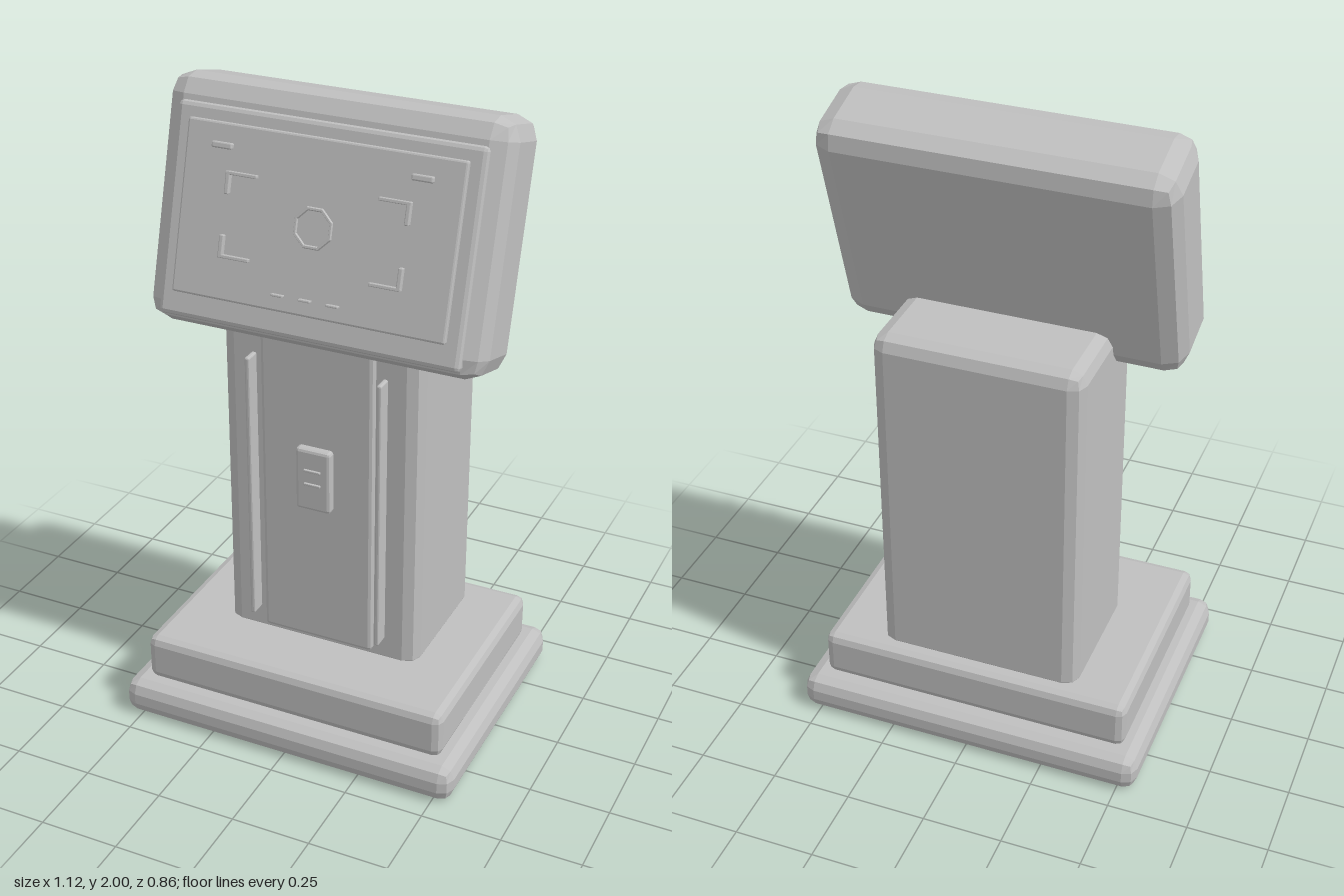
import * as THREE from 'three';
import { RoundedBoxGeometry } from 'three/addons/geometries/RoundedBoxGeometry.js';

export function createModel() {
  const root = new THREE.Group();
  root.name = 'kiosk';
  const grey = new THREE.MeshStandardMaterial({ color: 0xbfbfbf });
  grey.name = 'plain grey';

  function add(parent, name, geometry, x, y, z) {
    const mesh = new THREE.Mesh(geometry, grey);
    mesh.name = name;
    mesh.position.set(x, y, z);
    parent.add(mesh);
    return mesh;
  }

  // Bevelled block given by its ranges on each axis, with faceted edges
  function block(parent, name, [x0, x1], [y0, y1], [z0, z1], r) {
    const g = new RoundedBoxGeometry(x1 - x0, y1 - y0, z1 - z0, 1, r);
    g.computeVertexNormals();
    return add(parent, name, g, (x0 + x1) / 2, (y0 + y1) / 2, (z0 + z1) / 2);
  }

  // Stepped base
  block(root, 'basePlinth', [-0.558, 0.558], [0, 0.115], [-0.432, 0.432], 0.04);
  block(root, 'baseStep', [-0.5, 0.5], [0.11, 0.263], [-0.365, 0.37], 0.027);

  // Column with its raised front panel and side strips
  block(root, 'column', [-0.323, 0.323], [0.22, 1.377], [-0.31, 0.147], 0.045);
  block(root, 'frontPanel', [-0.183, 0.183], [0.28, 1.34], [0.12, 0.167], 0.012);
  for (const s of [-1, 1]) {
    const x = s * 0.212;
    block(root, 'lightStrip', [x - 0.008, x + 0.008], [0.33, 1.225], [0.135, 0.195], 0.005);
  }

  // Reader with two slots
  block(root, 'reader', [-0.058, 0.056], [0.755, 0.962], [0.15, 0.193], 0.01);
  for (const y of [0.847, 0.893]) {
    block(root, 'readerSlot', [-0.028, 0.026], [y - 0.004, y + 0.004], [0.185, 0.2], 0.002);
  }

  // Tilted head, built upright around its own centre
  const head = new THREE.Group();
  head.name = 'head';
  head.position.set(0, 1.628, 0.01);
  head.rotation.x = -0.28;
  root.add(head);
  block(head, 'headHousing', [-0.531, 0.531], [-0.366, 0.366], [-0.135, 0.135], 0.065);
  block(head, 'bezel', [-0.473, 0.473], [-0.338, 0.284], [0.1, 0.15], 0.014);
  block(head, 'screen', [-0.427, 0.427], [-0.264, 0.24], [0.14, 0.166], 0.006);

  // Raised screen marks: corner brackets and upper ticks, mirrored
  const front = [0.16, 0.181];
  for (const s of [-1, 1]) {
    const span = (a, b) => (s > 0 ? [a, b] : [-b, -a]);
    for (const [edge, dir] of [[0.108, -1], [-0.14, 1]]) {
      const yRange = (a, b) => [edge + dir * a, edge + dir * b].sort((p, q) => p - q);
      block(head, 'bracketBar', span(0.187, 0.284), yRange(0, 0.01), front, 0.002);
      block(head, 'bracketPost', span(0.27, 0.284), yRange(0, 0.066), front, 0.003);
    }
    block(head, 'statusTick', span(0.274, 0.338), [0.167, 0.185], front, 0.004);
  }

  // Centre ring and lower dashes
  const ring = new THREE.TorusGeometry(0.058, 0.006, 6, 8).toNonIndexed();
  ring.computeVertexNormals();
  add(head, 'centreRing', ring, 0, -0.011, 0.172).rotation.z = Math.PI / 8;
  for (const x of [-0.086, 0, 0.086]) {
    block(head, 'lowerDash', [x - 0.019, x + 0.019], [-0.22, -0.213], front, 0.002);
  }

  return root;
}
